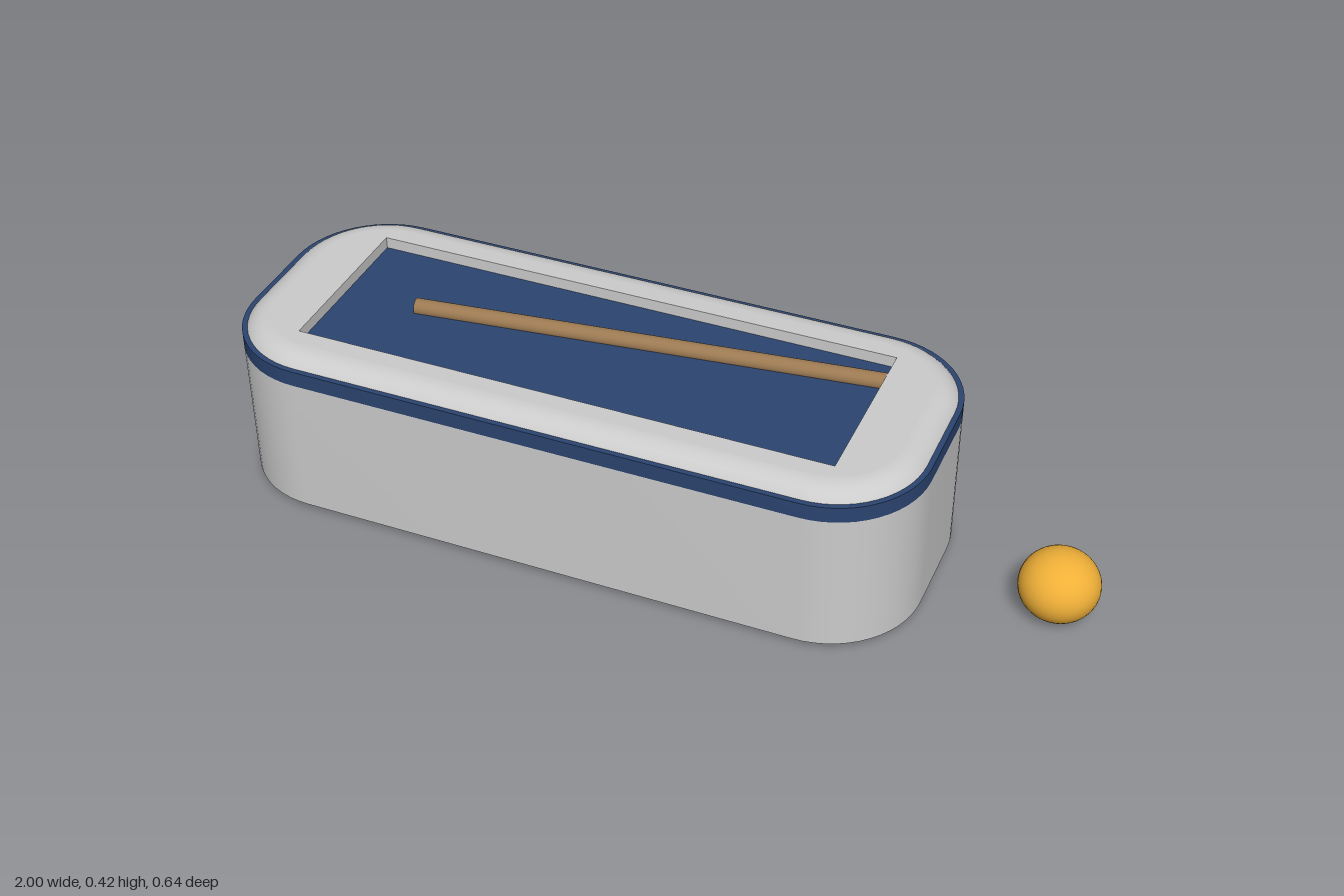
import * as THREE from 'three';
import { toCreasedNormals } from 'three/addons/utils/BufferGeometryUtils.js';

const CX = -0.185, HALF_X = 0.815, HALF_Z = 0.318, CORNER = 0.22;

// Rounded-rectangle outline, shrunk by an inset, counter-clockwise
function outline(inset, steps = 14) {
  const r = CORNER - inset, dx = HALF_X - CORNER, dz = HALF_Z - CORNER;
  const signs = [[1, 1], [-1, 1], [-1, -1], [1, -1]];
  const points = [];
  signs.forEach(([sx, sz], q) => {
    for (let i = 0; i <= steps; i++) {
      const a = (q + i / steps) * Math.PI / 2;
      points.push(new THREE.Vector2(CX + sx * dx + r * Math.cos(a), sz * dz + r * Math.sin(a)));
    }
  });
  return points;
}

// Upright slab between two heights
function slab(shape, y0, y1) {
  const g = new THREE.ExtrudeGeometry(shape, { depth: y1 - y0, bevelEnabled: false });
  g.rotateX(-Math.PI / 2).translate(0, y0, 0);
  return toCreasedNormals(g, 0.6);
}

// Quarter-round shoulder lofted through shrinking outlines
function shoulder(y0, y1, radius, steps = 10) {
  const pos = [], index = [];
  let n = 0;
  for (let j = 0; j <= steps; j++) {
    const a = j / steps * Math.PI / 2;
    const ring = outline(radius * (1 - Math.cos(a)));
    n = ring.length;
    ring.forEach(p => pos.push(p.x, y0 + (y1 - y0) * Math.sin(a), -p.y));
  }
  for (let j = 0; j < steps; j++) {
    for (let i = 0; i < n; i++) {
      const a = j * n + i, b = j * n + (i + 1) % n;
      index.push(a, b, b + n, a, b + n, a + n);
    }
  }
  const g = new THREE.BufferGeometry();
  g.setAttribute('position', new THREE.Float32BufferAttribute(pos, 3));
  g.setIndex(index);
  g.computeVertexNormals();
  return g;
}

export function createModel() {
  const model = new THREE.Group();
  const mat = color => new THREE.MeshStandardMaterial({ color });
  const grey = mat(0xcccccc), blue = mat(0x2b4470), wood = mat(0x9c7a52), gold = mat(0xf0b038);
  const add = (name, geometry, material, parent = model) => {
    const mesh = new THREE.Mesh(geometry, material);
    mesh.name = name;
    parent.add(mesh);
    return mesh;
  };

  // Case body and the coloured band, whose top is also the recess floor
  add('body', slab(new THREE.Shape(outline(0)), 0.017, 0.357), grey);
  add('band', slab(new THREE.Shape(outline(0)), 0.357, 0.395), blue);

  // Lid rim: rounded shoulder plus a flat frame around the recess
  const rim = new THREE.Group();
  rim.name = 'rim';
  model.add(rim);
  const bevel = 0.067, top = 0.423;
  add('rimShoulder', shoulder(0.357, top, bevel), grey, rim);
  const frame = new THREE.Shape(outline(bevel));
  const x0 = -0.82, x1 = 0.45, z = 0.207;
  frame.holes.push(new THREE.Path([
    new THREE.Vector2(x0, -z), new THREE.Vector2(x0, z),
    new THREE.Vector2(x1, z), new THREE.Vector2(x1, -z),
  ]));
  add('rimFrame', slab(frame, 0.38, top), grey, rim);

  // Rod lying diagonally in the recess, its far end set into the wall
  const start = new THREE.Vector3(-0.637, 0.402, -0.006);
  const end = new THREE.Vector3(0.47, 0.402, -0.143);
  const dir = end.clone().sub(start);
  const rod = add('rod', new THREE.CylinderGeometry(0.02, 0.02, dir.length(), 20), wood);
  rod.position.copy(start).add(end).multiplyScalar(0.5);
  rod.quaternion.setFromUnitVectors(new THREE.Vector3(0, 1, 0), dir.normalize());

  // Slightly flattened ball beside the case
  const ball = add('ball', new THREE.SphereGeometry(0.091, 36, 24), gold);
  ball.scale.y = 0.9;
  ball.position.set(0.909, 0.082, 0);

  return model;
}
